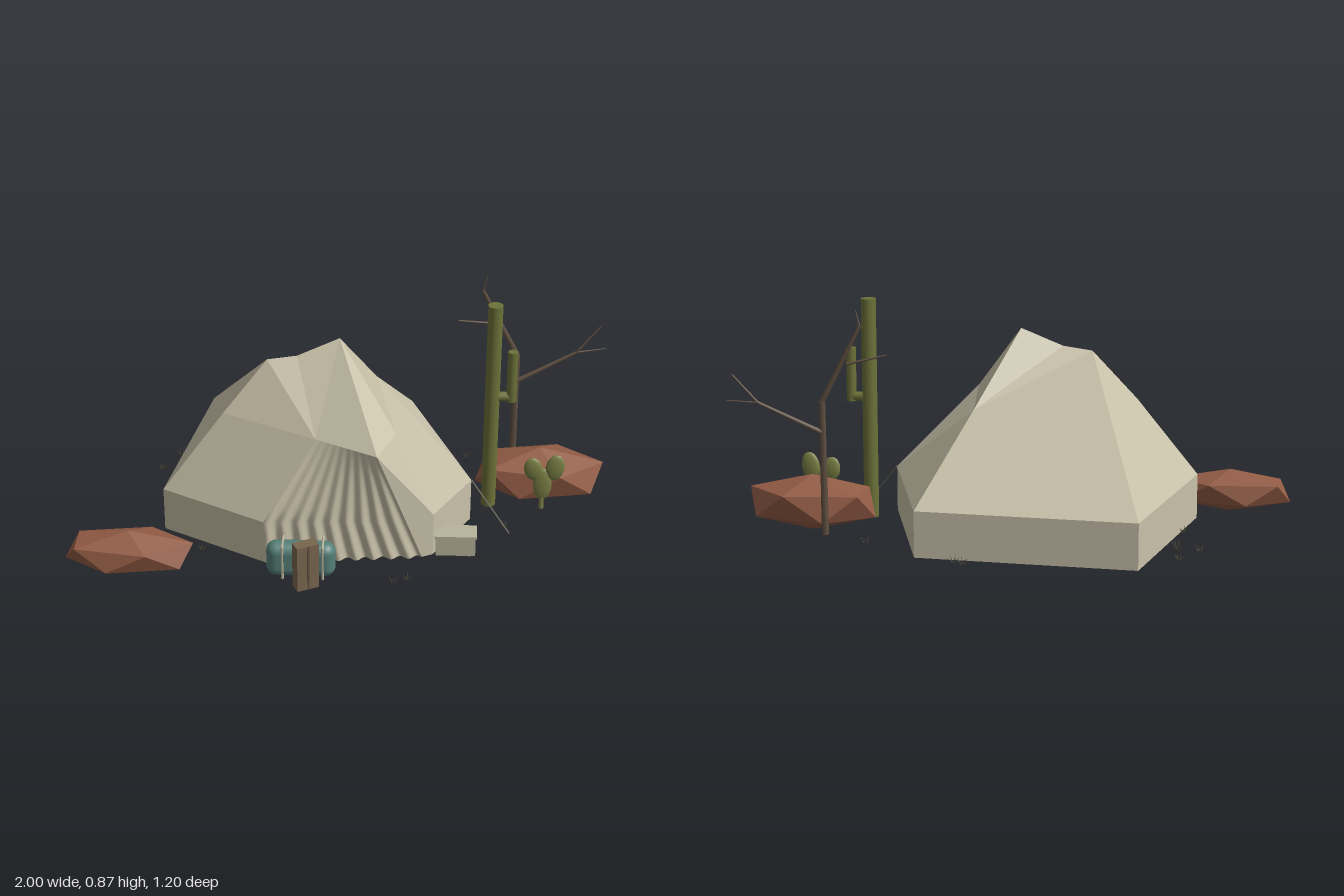
import * as THREE from 'three';
import { RoundedBoxGeometry } from 'three/addons/geometries/RoundedBoxGeometry.js';

const V = (x, y, z) => new THREE.Vector3(x, y, z);
const mat = (name, color, extra = {}) =>
  Object.assign(new THREE.MeshStandardMaterial({ color, ...extra }), { name });

export function createModel() {
  const root = new THREE.Group();
  root.name = 'desertCamp';
  const canvas = mat('canvas', 0xc8c1a9, { side: THREE.DoubleSide });
  const rockMat = mat('redRock', 0x935c45, { flatShading: true });
  const cactusMat = mat('cactusGreen', 0x6c7239);
  const padMat = mat('padGreen', 0x7b8145);
  const wood = mat('deadWood', 0x5e4e40);
  const boxMat = mat('brownBox', 0x78664f);
  const teal = mat('tealFabric', 0x557f78);
  const crateMat = mat('paleCrate', 0xb9b59e);
  const grassMat = mat('dryGrass', 0x55523a);
  const ropeMat = mat('rope', 0x6f6858);

  const add = (name, geo, material, pos = [0, 0, 0], parent = root) => {
    const m = new THREE.Mesh(geo, material);
    m.name = name;
    m.position.set(...pos);
    parent.add(m);
    return m;
  };
  const group = (name) => {
    const g = new THREE.Group();
    g.name = name;
    root.add(g);
    return g;
  };
  // tapered rod between two points
  const rod = (name, a, b, r0, r1, material, parent, sides = 8) => {
    const d = b.clone().sub(a);
    const m = add(name, new THREE.CylinderGeometry(r1, r0, d.length(), sides), material,
      a.clone().add(b).multiplyScalar(0.5).toArray(), parent);
    m.quaternion.setFromUnitVectors(V(0, 1, 0), d.normalize());
    return m;
  };
  // flat faces, each a fan of corner points
  const faces = (list) => {
    const pts = [];
    for (const f of list)
      for (let i = 1; i < f.length - 1; i++) pts.push(f[0], f[i], f[i + 1]);
    const g = new THREE.BufferGeometry().setFromPoints(pts);
    g.computeVertexNormals();
    return g;
  };

  // tent: eaves, shoulders and ridge points
  const tent = group('tent');
  const L = V(-0.665, 0.2, 0.19), BL = V(-0.55, 0.2, -0.535), BR = V(0.25, 0.2, -0.545);
  const R = V(0.48, 0.2, 0.07), E = V(0.34, 0.2, 0.325), G = V(-0.275, 0.2, 0.405);
  const K = V(-0.44, 0.495, 0.13), D = V(-0.09, 0.495, 0.31), F = V(0.135, 0.495, 0.43);
  const A = V(0.2, 0.495, 0.26), B = V(0.115, 0.495, -0.19);
  const P1 = V(-0.015, 0.765, 0.035), P2 = V(-0.28, 0.685, 0.06), M = V(-0.17, 0.7, 0.055);
  const C = V(0.3, 0.03, 0.345), C2 = V(0.24, 0.2, 0.376);
  const low = (p) => V(p.x, 0.03, p.z);
  const wall = (a, b) => [low(a), low(b), b, a];
  add('tentWalls', faces([wall(G, L).reverse(), wall(BL, L), wall(BR, BL), wall(R, BR), wall(E, R)]), canvas, [0, 0, 0], tent);
  add('tentRoof', faces([
    [L, G, D, K], [BL, L, K, P2], [BR, BL, P2, B], [R, BR, B], [R, B, A], [E, R, A],
    [K, D, P2], [D, M, P2], [D, P1, M], [D, F, P1], [F, A, P1], [A, B, P1],
    [B, M, P1], [B, P2, M],
  ]), canvas, [0, 0, 0], tent);
  add('entranceSide', faces([[F, C2, E, A], [C2, C, low(E), E]]), canvas, [0, 0, 0], tent);

  // entrance curtain with folds that deepen downwards
  const cols = 96;
  const rows = [];
  for (let i = 0; i <= 6; i++) rows.push([D.clone().lerp(G, i / 6), F.clone().lerp(C2, i / 6)]);
  for (let i = 1; i <= 3; i++) rows.push([G.clone().lerp(low(G), i / 3), C2.clone().lerp(C, i / 3)]);
  const cp = [], ci = [];
  rows.forEach(([a, b], r) => {
    for (let c = 0; c <= cols; c++) {
      const p = a.clone().lerp(b, c / cols);
      p.z += 0.011 * (r / 9) * Math.sin((c / cols) * Math.PI * 18);
      cp.push(p);
      if (r && c) {
        const k = r * (cols + 1) + c, u = k - cols - 1;
        ci.push(u - 1, k - 1, k, u - 1, k, u);
      }
    }
  });
  const curtain = new THREE.BufferGeometry().setFromPoints(cp);
  curtain.setIndex(ci);
  curtain.computeVertexNormals();
  add('entranceCurtain', curtain, canvas, [0, 0, 0], tent);
  rod('guyRope', R, V(0.625, 0.03, 0.17), 0.003, 0.003, ropeMat, tent, 6);

  // rocks: squashed icosahedra standing on a corner
  const rock = (x, z, rx, h, rz) => {
    const g = new THREE.IcosahedronGeometry(1, 0);
    g.rotateZ(-Math.atan(2 / (1 + Math.sqrt(5))));
    g.scale(rx, h / 2, rz);
    add('rock', g, rockMat, [x, h / 2, z]);
  };
  rock(-0.765, 0.43, 0.263, 0.167, 0.121);
  rock(0.745, -0.165, 0.274, 0.215, 0.155);

  // columnar cactus
  const cactus = group('cactus');
  rod('cactusTrunk', V(0.55, 0.03, -0.047), V(0.55, 0.87, -0.047), 0.028, 0.028, cactusMat, cactus, 14);
  rod('cactusElbow', V(0.55, 0.495, -0.047), V(0.625, 0.495, -0.047), 0.018, 0.018, cactusMat, cactus, 12);
  rod('cactusArm', V(0.621, 0.478, -0.047), V(0.621, 0.682, -0.047), 0.019, 0.019, cactusMat, cactus, 12);

  // pad cactus
  const pads = group('padCactus');
  const pad = (x, y, rx, ry, tilt) => {
    const m = add('pad', new THREE.SphereGeometry(1, 14, 10), padMat, [x, y, -0.022], pads);
    m.scale.set(rx, ry, 0.014);
    m.rotation.z = tilt;
  };
  pad(0.752, 0.135, 0.036, 0.068, 0);
  pad(0.715, 0.2, 0.035, 0.048, 0.15);
  pad(0.797, 0.207, 0.036, 0.056, -0.15);
  rod('padStem', V(0.752, 0.03, -0.022), V(0.752, 0.09, -0.022), 0.009, 0.009, padMat, pads);

  // dead tree: start, end, radii
  const tree = group('deadTree');
  const fork = V(0.65, 0.53, -0.322), bend = V(0.51, 0.81, -0.3), tip = V(0.88, 0.525, -0.365);
  [
    [V(0.648, 0.03, -0.322), fork, 0.014, 0.012],
    [fork, bend, 0.011, 0.007],
    [bend, V(0.525, 0.87, -0.3), 0.004, 0.002],
    [V(0.56, 0.67, -0.308), V(0.42, 0.7, -0.265), 0.005, 0.003],
    [V(0.65, 0.415, -0.325), tip, 0.01, 0.006],
    [tip, V(0.97, 0.63, -0.385), 0.005, 0.003],
    [tip, V(0.995, 0.533, -0.387), 0.004, 0.002],
  ].forEach(([a, b, r0, r1], i) => rod(i ? 'branch' : 'trunk', a, b, r0, r1, wood, tree));

  // bedroll with two straps
  const bed = group('bedroll');
  add('roll', new RoundedBoxGeometry(0.25, 0.135, 0.08, 5, 0.038), teal, [-0.135, 0.0975, 0.475], bed);
  for (const x of [-0.2, -0.055])
    add('strap', new RoundedBoxGeometry(0.009, 0.139, 0.084, 4, 0.004), crateMat, [x, 0.0975, 0.475], bed);

  // upright brown box with a front rib
  const box = group('uprightBox');
  box.position.set(-0.113, 0.12, 0.557);
  box.rotation.y = 0.47;
  add('boxBody', new THREE.BoxGeometry(0.084, 0.18, 0.046), boxMat, [0, 0, 0], box);
  add('boxRib', new THREE.BoxGeometry(0.008, 0.18, 0.004), wood, [0, 0, 0.024], box);

  // storage crate
  const crate = group('crate');
  crate.position.set(0.423, 0, 0.294);
  add('crateBody', new THREE.BoxGeometry(0.146, 0.075, 0.076), crateMat, [0, 0.0675, 0], crate);
  add('crateLid', new THREE.BoxGeometry(0.156, 0.01, 0.085), crateMat, [0, 0.108, 0], crate);
  for (const x of [-0.05, 0.05])
    add('crateBatten', new THREE.BoxGeometry(0.008, 0.073, 0.004), crateMat, [x, 0.0675, 0.039], crate);

  // grass tufts
  const grass = group('grassTufts');
  [[-0.67, -0.37], [-0.73, -0.25], [-0.65, -0.25], [-0.64, -0.2], [-0.64, -0.02], [0.06, -0.59],
    [0.1, -0.57], [0.47, -0.4], [0.61, 0.12], [-0.51, 0.33], [0.25, 0.5], [0.2, 0.52]].forEach(([x, z], i) => {
    for (let k = 0; k < 6; k++) {
      const a = k * 1.05 + i, r = 0.011 + 0.004 * (k % 2);
      rod('grassBlade', V(x + Math.cos(a) * r * 0.5, 0.03, z + Math.sin(a) * r * 0.5),
        V(x + Math.cos(a) * r * 1.3, 0.046 + 0.004 * (k % 3), z + Math.sin(a) * r * 1.3), 0.0018, 0.0005, grassMat, grass, 3);
    }
  });
  return root;
}
